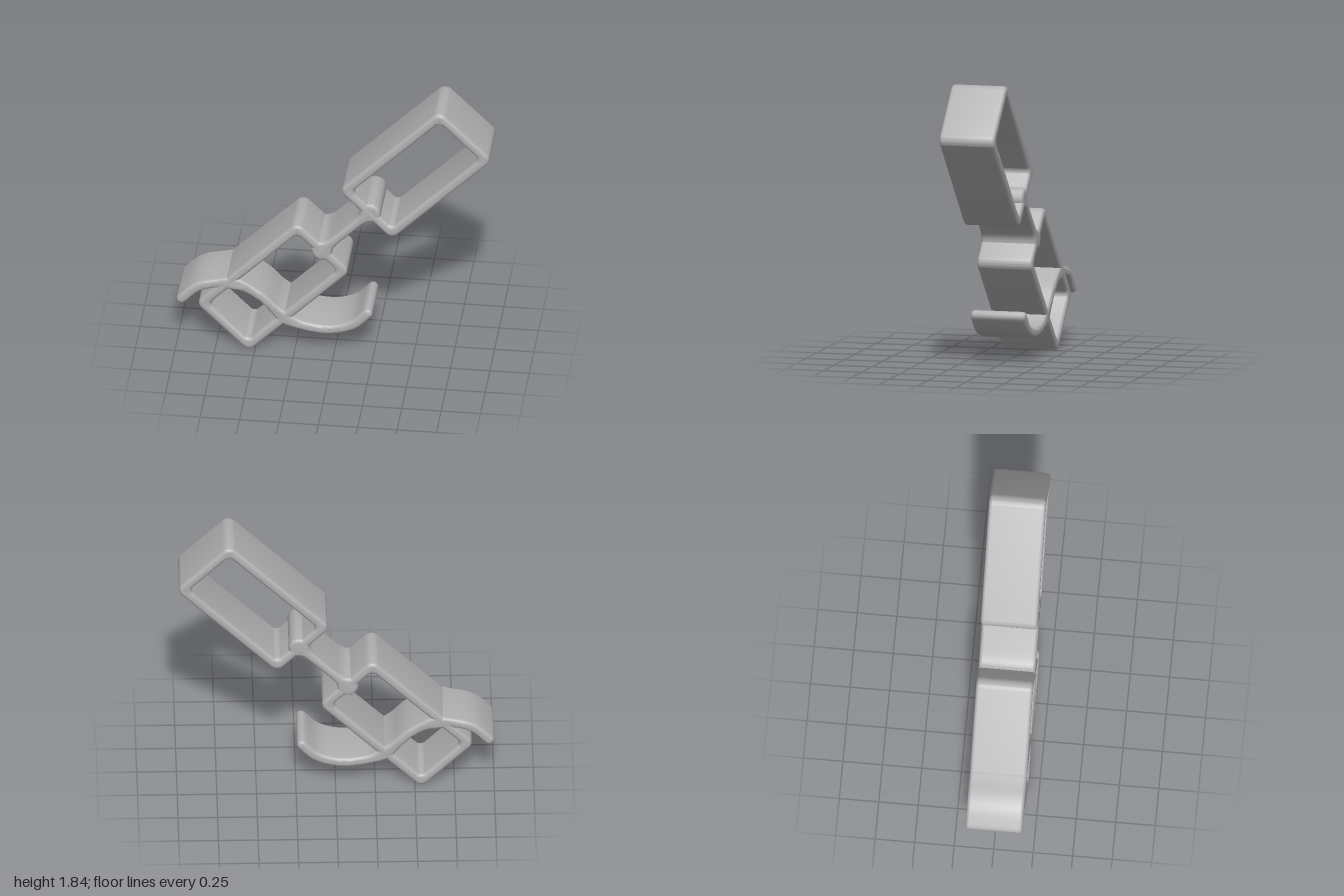
import * as THREE from 'three';
import { toCreasedNormals } from 'three/addons/utils/BufferGeometryUtils.js';

const DEPTH = 0.36, BEVEL = 0.022;
const V = (x, y) => new THREE.Vector2(x, y);

// Extrude a flat profile through the full depth with softly rounded rims
function slab(shape, material, name) {
  const geo = new THREE.ExtrudeGeometry(shape, {
    depth: DEPTH - 2 * BEVEL, bevelEnabled: true, bevelThickness: BEVEL,
    bevelSize: BEVEL, bevelOffset: -BEVEL, bevelSegments: 4, curveSegments: 6,
  });
  geo.translate(0, 0, BEVEL - DEPTH / 2);
  const mesh = new THREE.Mesh(toCreasedNormals(geo, 0.8), material);
  mesh.name = name;
  return mesh;
}

// Trace a rounded rectangle onto a shape or hole path
function roundedRect(path, x0, y0, x1, y1, r) {
  path.absarc(x1 - r, y0 + r, r, -Math.PI / 2, 0);
  path.absarc(x1 - r, y1 - r, r, 0, Math.PI / 2);
  path.absarc(x0 + r, y1 - r, r, Math.PI / 2, Math.PI);
  path.absarc(x0 + r, y0 + r, r, Math.PI, Math.PI * 1.5);
  path.closePath();
  return path;
}

// Rectangular loop with an open middle
function frame(x0, y0, x1, y1, wall) {
  const shape = roundedRect(new THREE.Shape(), x0, y0, x1, y1, 0.055);
  shape.holes.push(roundedRect(new THREE.Path(), x0 + wall, y0 + wall, x1 - wall, y1 - wall, 0.035));
  return shape;
}

// Strip of varying width along a curve, with round ends
function ribbon(curve, halfWidth, steps) {
  const left = [], right = [];
  for (let i = 0; i <= steps; i++) {
    const p = curve.getPointAt(i / steps), d = curve.getTangentAt(i / steps);
    const n = V(-d.y, d.x), w = halfWidth(p);
    left.push(p.clone().addScaledVector(n, w));
    right.push(p.clone().addScaledVector(n, -w));
  }
  const cap = (t, sign) => {
    const p = curve.getPointAt(t), d = curve.getTangentAt(t);
    const w = halfWidth(p), a0 = Math.atan2(d.y, d.x) + (sign > 0 ? -Math.PI / 2 : Math.PI / 2);
    return [1, 2, 3, 4, 5].map(k => {
      const a = a0 + k * Math.PI / 6;
      return V(p.x + w * Math.cos(a), p.y + w * Math.sin(a));
    });
  };
  return new THREE.Shape([...right, ...cap(1, 1), ...left.reverse(), ...cap(0, -1)]);
}

export function createModel() {
  const model = new THREE.Group();
  model.name = 'loopedBracket';
  const grey = new THREE.MeshStandardMaterial({ color: 0xb0b0b0 });
  grey.name = 'grey';

  // Straight parts share one diagonal axis
  const diagonal = new THREE.Group();
  diagonal.name = 'diagonalBody';
  diagonal.rotation.z = Math.PI / 4;
  diagonal.add(slab(frame(0.89, 0.37, 1.797, 0.85, 0.062), grey, 'upperFrame'));
  diagonal.add(slab(frame(-0.396, 0.37, 0.522, 0.85, 0.062), grey, 'lowerFrame'));

  // Connecting bar, flaring where it meets each frame
  const bar = new THREE.LineCurve(V(0.49, 0.598), V(0.922, 0.598));
  const flare = p => {
    const gap = Math.max(0, Math.min(p.x - 0.515, 0.897 - p.x));
    return 0.028 + 0.04 * Math.exp(-gap / 0.025);
  };
  diagonal.add(slab(ribbon(bar, flare, 40), grey, 'connectingBar'));
  model.add(diagonal);

  // Wavy strip weaving through the lower frame, thicker at the crossings
  const wave = new THREE.SplineCurve([
    V(-0.968, 0.342), V(-0.87, 0.435), V(-0.75, 0.473), V(-0.61, 0.475), V(-0.47, 0.4),
    V(-0.375, 0.305), V(-0.3, 0.24), V(-0.18, 0.194), V(-0.02, 0.183), V(0.12, 0.228), V(0.212, 0.317),
  ]);
  const crossings = [V(-0.64, 0.48), V(-0.31, 0.247)];
  const thickness = p => crossings.reduce(
    (w, c) => w + 0.015 * Math.exp(-((p.distanceTo(c) / 0.06) ** 2)), 0.032);
  model.add(slab(ribbon(wave, thickness, 64), grey, 'wavyStrip'));

  return model;
}
